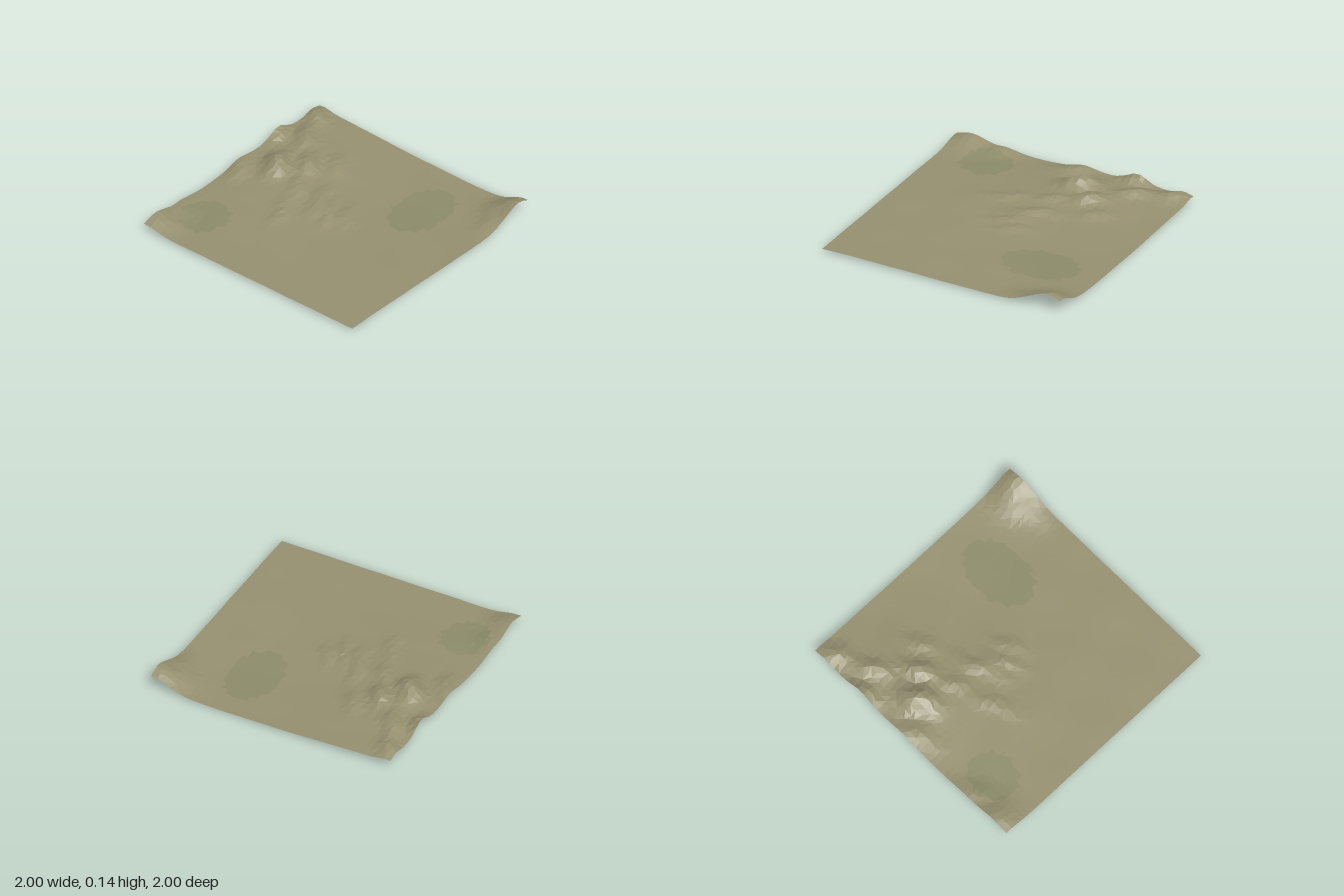
import * as THREE from 'three';

const CELLS = 40;

// Bumps: x, z, peak height, radius along the crest, radius across it
const BUMPS = [
  [0.35, -0.7, 0.045, 0.5, 0.28],
  // back left hills
  [-0.86, -1.0, 0.07, 0.13, 0.11],
  [-0.62, -0.95, 0.033, 0.13, 0.07],
  // parallel crests running towards the back right
  [0.06, 0.03, 0.024, 0.11, 0.045],
  [0.0, -0.08, 0.033, 0.14, 0.05],
  [0.08, -0.23, 0.044, 0.18, 0.055],
  [-0.18, -0.37, 0.036, 0.17, 0.055],
  [0.5, -0.42, 0.045, 0.13, 0.06],
  [0.12, -0.47, 0.05, 0.14, 0.055],
  [0.36, -0.57, 0.09, 0.12, 0.065],
  [0.2, -0.73, 0.125, 0.13, 0.08],
  [0.6, -0.8, 0.078, 0.16, 0.065],
  [0.87, -0.92, 0.07, 0.12, 0.07],
  [0.54, -1.02, 0.1, 0.12, 0.07],
  [0.05, -0.95, 0.055, 0.16, 0.07],
  // front right hill
  [0.89, 1.0, 0.128, 0.15, 0.13],
  [0.76, 0.87, 0.045, 0.14, 0.07],
];

function seeded(seed) {
  return () => {
    seed = (seed * 16807) % 2147483647;
    return seed / 2147483647;
  };
}

const bell = (a, b) => Math.exp(-0.5 * (a * a + b * b));

function heightAt(x, z) {
  // gentle plain with a shallow hollow on the right
  const plain = 0.03 - 0.022 * bell((x - 0.6) / 0.5, (z - 0.4) / 0.55)
    + 0.002 * Math.sin(9 * x + 5 * z) * Math.cos(7 * z - 3 * x);
  const cos = 0.91, sin = 0.41;
  let sum = 0;
  for (const [bx, bz, h, along, across] of BUMPS) {
    const dx = x - bx, dz = z - bz;
    const u = dx * cos - dz * sin;
    const v = dx * sin + dz * cos + 0.014 * Math.sin(u * 22);
    sum += (h * bell(u / along, v / across)) ** 3;
  }
  return plain + Math.cbrt(sum);
}

function createModel() {
  const model = new THREE.Group();
  model.name = 'terrain';
  const random = seeded(71);

  // slightly irregular grid of ground points, straight at the borders
  const points = [];
  let lowest = Infinity;
  for (let j = 0; j <= CELLS; j++) {
    for (let i = 0; i <= CELLS; i++) {
      const jx = (random() - 0.5) * 0.026, jz = (random() - 0.5) * 0.026;
      const x = -1 + 2 * i / CELLS + (i % CELLS ? jx : 0);
      const z = -1 + 2 * j / CELLS + (j % CELLS ? jz : 0);
      const y = heightAt(x, z);
      lowest = Math.min(lowest, y);
      points.push(new THREE.Vector3(x, y, z));
    }
  }
  points.forEach((p) => { p.y -= lowest; });

  // sort the triangles by ground cover: bare rock where steep, grass in patches
  const covers = {
    dryGround: { color: 0x969070, corners: [] },
    grassPatches: { color: 0x8c8b69, corners: [] },
    steepRock: { color: 0x77777b, corners: [] },
  };
  const triangle = new THREE.Triangle();
  const normal = new THREE.Vector3(), middle = new THREE.Vector3();
  const addFace = (a, b, c) => {
    triangle.set(a, b, c);
    triangle.getNormal(normal);
    triangle.getMidpoint(middle);
    const { x, z } = middle;
    const grass = bell((x - 0.5) / 0.3, (z - 0.4) / 0.2)
      + bell((x + 0.6) / 0.2, (z + 0.75) / 0.18);
    const cover = normal.y < 0.6 ? 'steepRock' : grass > 0.6 ? 'grassPatches' : 'dryGround';
    for (const p of [a, b, c]) covers[cover].corners.push(p.clone());
  };
  for (let j = 0; j < CELLS; j++) {
    for (let i = 0; i < CELLS; i++) {
      const k = j * (CELLS + 1) + i;
      const a = points[k], b = points[k + 1];
      const c = points[k + CELLS + 1], d = points[k + CELLS + 2];
      if (random() < 0.5) {
        addFace(a, c, b);
        addFace(b, c, d);
      } else {
        addFace(a, c, d);
        addFace(a, d, b);
      }
    }
  }

  // one open sheet per ground cover
  for (const [name, { color, corners }] of Object.entries(covers)) {
    if (!corners.length) continue;
    const geometry = new THREE.BufferGeometry().setFromPoints(corners);
    geometry.computeVertexNormals();
    const material = new THREE.MeshStandardMaterial({
      color, flatShading: true, side: THREE.DoubleSide,
    });
    const mesh = new THREE.Mesh(geometry, material);
    mesh.name = name;
    model.add(mesh);
  }
  return model;
}

export { createModel };
